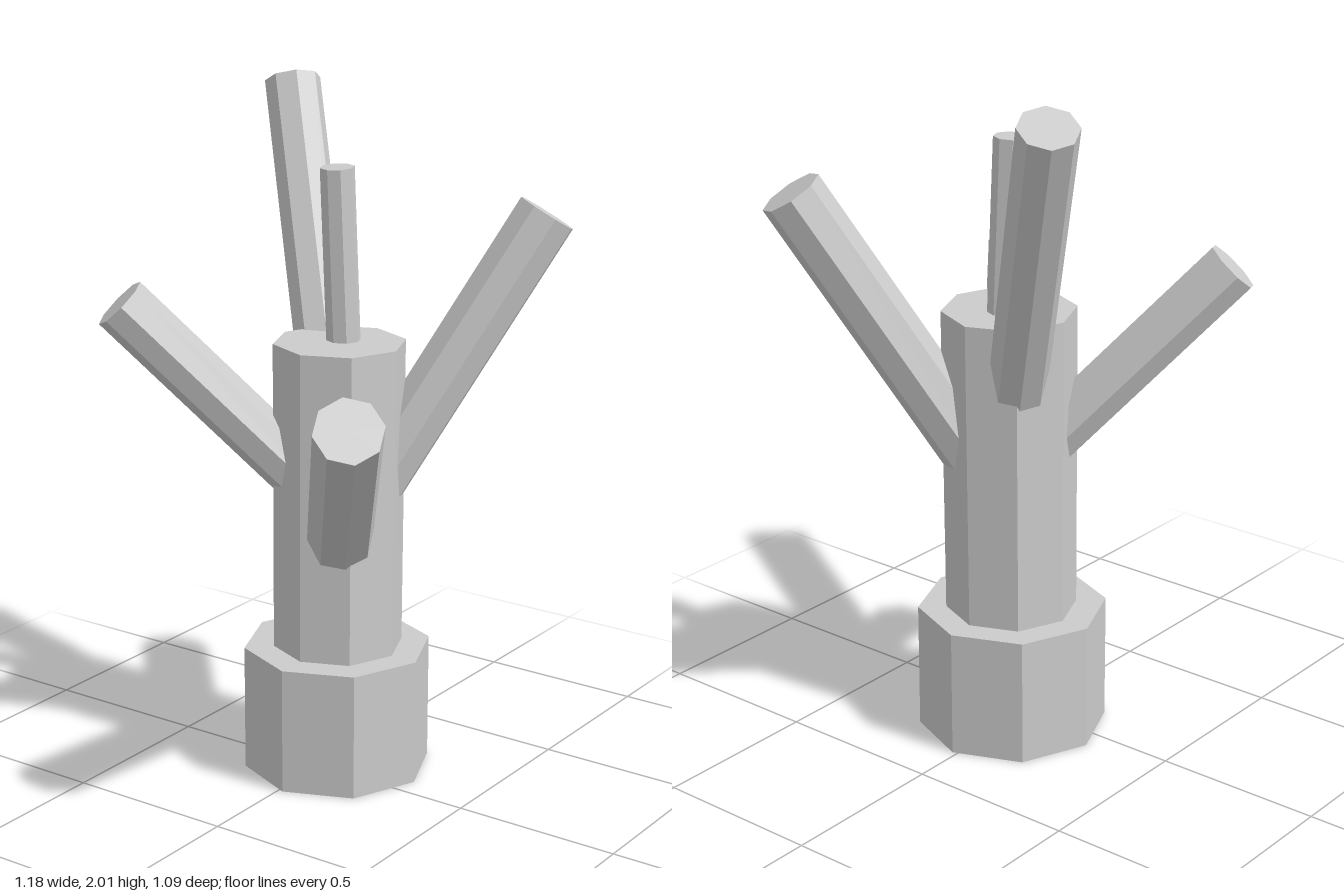
import * as THREE from 'three';

const material = new THREE.MeshStandardMaterial({ color: 0xcccccc, flatShading: true });

// Eight-sided rod running from one point to another
function rod(name, from, to, rBottom, rTop) {
  const a = new THREE.Vector3(...from);
  const b = new THREE.Vector3(...to);
  const dir = b.clone().sub(a);
  const mesh = new THREE.Mesh(new THREE.CylinderGeometry(rTop, rBottom, dir.length(), 8), material);
  mesh.name = name;
  mesh.position.copy(a).add(b).multiplyScalar(0.5);
  mesh.quaternion.setFromUnitVectors(new THREE.Vector3(0, 1, 0), dir.normalize());
  return mesh;
}

export function createModel() {
  const group = new THREE.Group();
  group.name = 'stylizedTree';

  // Wide foot and slightly leaning trunk
  group.add(rod('base', [0.07, 0, 0.015], [0.07, 0.38, 0.015], 0.278, 0.278));
  group.add(rod('trunk', [0.07, 0.1, 0.017], [0.083, 1.3, 0.012], 0.192, 0.194));

  // Four branches growing outward from the trunk's core
  const branches = [
    ['frontLeftBranch', 0.7, [0.502, 1.655, 0.442], 0.092],
    ['frontRightBranch', 0.64, [-0.517, 1.26, 0.46], 0.097],
    ['backLeftBranch', 0.88, [0.453, 1.967, -0.42], 0.084],
    ['backRightBranch', 0.79, [-0.31, 1.423, -0.475], 0.084],
  ];
  for (const [name, y, tip, r] of branches) {
    group.add(rod(name, [0.08, y, 0.012], tip, r, r));
  }

  // Thin twig at the top
  group.add(rod('topTwig', [0.112, 1.15, 0.012], [0.091, 1.803, -0.003], 0.05, 0.05));
  return group;
}
